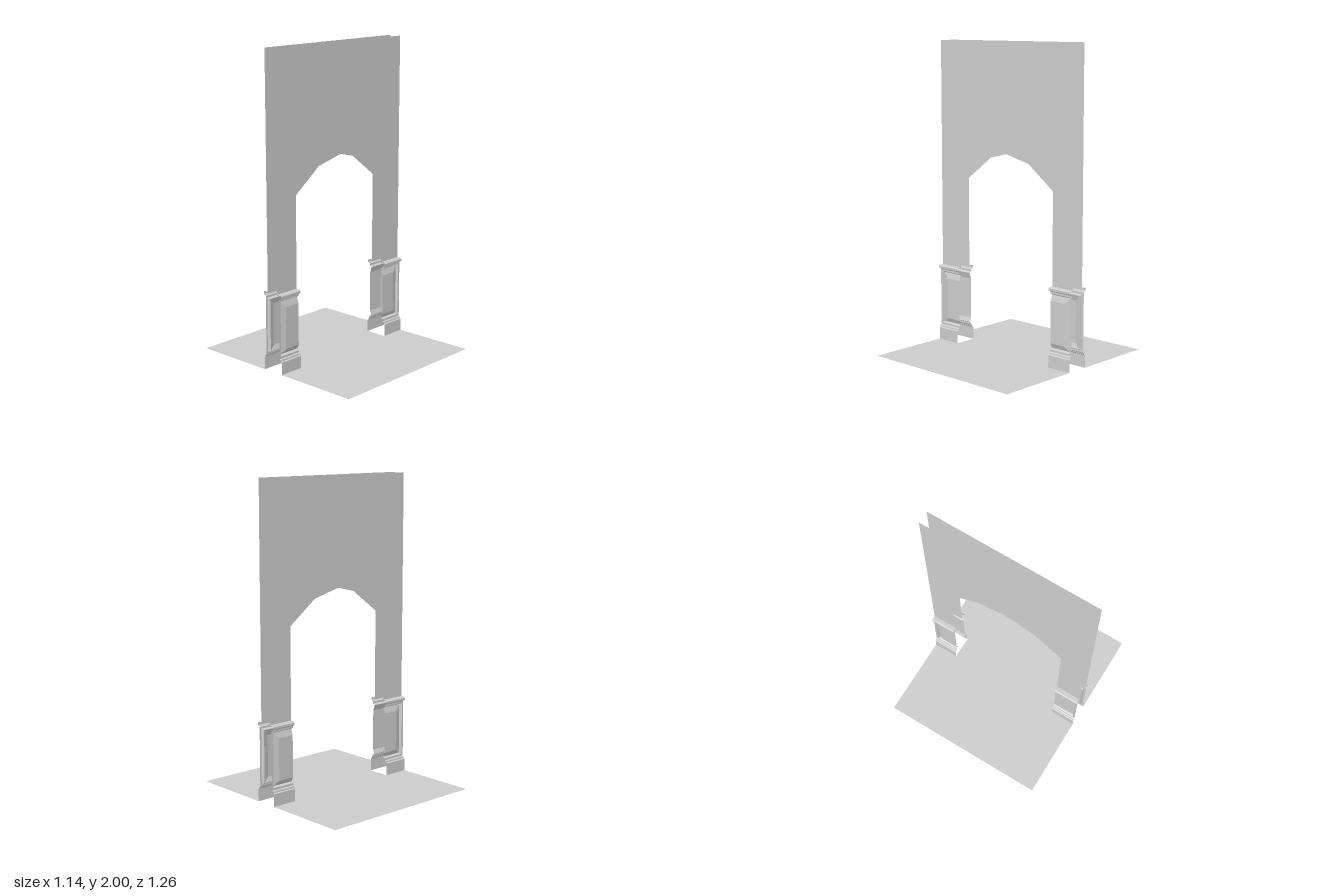
import * as THREE from 'three';

const material = new THREE.MeshStandardMaterial({ color: 0xcccccc, side: THREE.DoubleSide, flatShading: true });

const HALF_W = 0.57, DOOR = 0.4, WALL_Z = 0.04, BASE_Z = 0.075, FLOOR_Z = 0.63;

function mesh(geometry, name) {
  const m = new THREE.Mesh(geometry, material);
  m.name = name;
  return m;
}

function flat(points) {
  return new THREE.ShapeGeometry(new THREE.Shape(points.map(([x, y]) => new THREE.Vector2(x, y))));
}

// Surface joining successive rows of [x, y, z] points with quads
function loft(rows) {
  const pos = [];
  for (let i = 0; i + 1 < rows.length; i++) {
    for (let j = 0; j + 1 < rows[i].length; j++) {
      const a = rows[i][j], b = rows[i][j + 1], c = rows[i + 1][j + 1], d = rows[i + 1][j];
      pos.push(...a, ...b, ...c, ...a, ...c, ...d);
    }
  }
  const g = new THREE.BufferGeometry();
  g.setAttribute('position', new THREE.Float32BufferAttribute(pos, 3));
  g.computeVertexNormals();
  return g;
}

// Horizontal moulding: [z, y] profile swept between the door edge and the outer edge
function moulding(profile, name) {
  return mesh(loft(profile.map(([z, y]) => [[DOOR, y, z], [HALF_W, y, z]])), name);
}

// One dado pier on the +x, +z quarter
function createDado() {
  const dado = new THREE.Group();
  dado.add(moulding([
    [BASE_Z, 0], [BASE_Z, 0.08], [0.068, 0.085], [0.066, 0.095], [0.058, 0.1], [0.058, 0.11],
  ], 'baseboard'));
  dado.add(moulding([
    [0.058, 0.47], [0.058, 0.48], [0.066, 0.484], [0.068, 0.488],
    [BASE_Z, 0.49], [BASE_Z, 0.503], [0.066, 0.51], [WALL_Z, 0.51],
  ], 'chairRail'));

  // Recessed panel with raised field, open towards the doorway
  const ring = (x, low, high, z) => [[DOOR, low, z], [x, low, z], [x, high, z], [DOOR, high, z]];
  const field = ring(0.51, 0.15, 0.42, 0.055);
  dado.add(mesh(loft([
    ring(HALF_W, 0.11, 0.47, 0.058),
    ring(0.558, 0.113, 0.467, 0.058),
    ring(0.548, 0.121, 0.459, 0.042),
    field,
  ]), 'panelFrame'));
  dado.add(mesh(loft([[field[0], field[1]], [field[3], field[2]]]), 'panelField'));
  return dado;
}

// Wall sheet with faceted arched opening
function createWall() {
  const wall = mesh(flat([
    [-HALF_W, 0.5], [-DOOR, 0.5], [-DOOR, 1.1], [-0.2, 1.25], [0, 1.3],
    [0.2, 1.25], [DOOR, 1.1], [DOOR, 0.5], [HALF_W, 0.5], [HALF_W, 2], [-HALF_W, 2],
  ]), 'archedWall');
  wall.position.z = WALL_Z;
  return wall;
}

export function createModel() {
  const model = new THREE.Group();
  model.name = 'archedDoorway';

  // Floor sheet, notched under both piers
  const floor = mesh(flat([
    [-HALF_W, -FLOOR_Z], [HALF_W, -FLOOR_Z], [HALF_W, -BASE_Z], [DOOR, -BASE_Z],
    [DOOR, BASE_Z], [HALF_W, BASE_Z], [HALF_W, FLOOR_Z], [-HALF_W, FLOOR_Z],
    [-HALF_W, BASE_Z], [-DOOR, BASE_Z], [-DOOR, -BASE_Z], [-HALF_W, -BASE_Z],
  ]), 'floor');
  floor.rotation.x = -Math.PI / 2;
  model.add(floor);

  // Front and back faces, each with two dado piers
  for (const sz of [1, -1]) {
    const face = new THREE.Group();
    face.name = sz > 0 ? 'frontFace' : 'backFace';
    face.add(createWall());
    for (const sx of [1, -1]) {
      const dado = createDado();
      dado.name = sx > 0 ? 'leftDado' : 'rightDado';
      dado.scale.x = sx;
      face.add(dado);
    }
    face.scale.z = sz;
    model.add(face);
  }
  return model;
}
